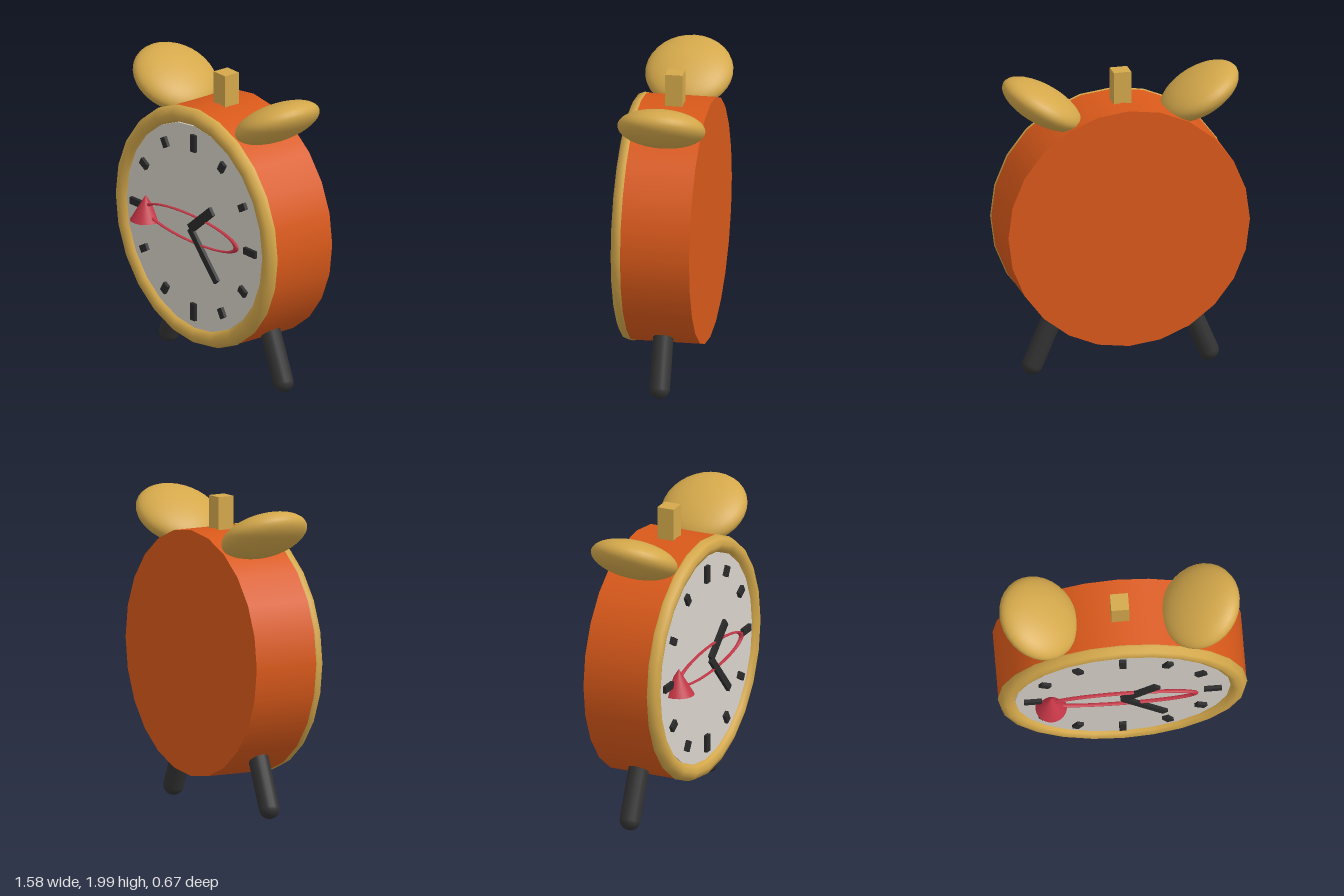
import * as THREE from 'three';

const mat = (color) => new THREE.MeshStandardMaterial({ color });
const CY = 1.01;   // height of the dial centre
const CZ = -0.055; // middle of the case depth

export function createModel() {
  const root = new THREE.Group();
  const orange = mat(0xd9591a), gold = mat(0xd4a84b), cream = mat(0xd8d3ca);
  const black = mat(0x2a2a2a), red = mat(0xc23545), dark = mat(0x333333);

  const add = (name, geometry, material, x, y, z) => {
    const mesh = new THREE.Mesh(geometry, material);
    mesh.name = name;
    mesh.position.set(x, y, z);
    root.add(mesh);
    return mesh;
  };

  // drum-shaped case, dial and rim
  const disc = (r, depth) => new THREE.CylinderGeometry(r, r, depth, 24).rotateX(Math.PI / 2);
  add('case', disc(0.787, 0.45), orange, 0, CY, CZ);
  add('dial', disc(0.682, 0.04), cream, 0, CY, 0.18);
  add('rim', new THREE.TorusGeometry(0.735, 0.057, 8, 24), gold, 0, CY, 0.175);

  // hour marks, longer at the quarters
  for (let i = 0; i < 12; i++) {
    const a = (i * Math.PI) / 6;
    const length = i % 3 === 0 ? 0.113 : 0.068;
    const mark = add('hourMark', new THREE.BoxGeometry(0.046, length, 0.025), black,
      0.57 * Math.sin(a), CY + 0.57 * Math.cos(a), 0.21);
    mark.rotation.z = -a;
  }

  // hands, each running from the dial centre to a tip
  const hand = (name, tipX, tipY, width, z) => {
    const length = Math.hypot(tipX, tipY);
    const geometry = new THREE.BoxGeometry(width, length, 0.022).translate(0, length / 2, 0);
    add(name, geometry, black, 0, CY, z).rotation.z = Math.atan2(-tipX, tipY);
  };
  hand('hourHand', 0.217, 0.18, 0.06, 0.236);
  hand('minuteHand', 0.267, -0.285, 0.046, 0.237);

  // flattened red ring with a cone at its end
  const ring = add('ring', new THREE.TorusGeometry(0.455, 0.023, 8, 48), red, 0, CY + 0.002, 0.233);
  ring.scale.set(1, 0.197, 0.55);
  add('cone', new THREE.ConeGeometry(0.1, 0.168, 24), red, -0.457, 1.016, 0.23);

  // bells and legs, mirrored left and right
  for (const s of [1, -1]) {
    const bell = add(s > 0 ? 'leftBell' : 'rightBell',
      new THREE.SphereGeometry(0.28, 32, 20), gold, s * 0.513, 1.812, CZ);
    bell.scale.y = 0.425;
    bell.rotation.z = s * Math.PI / 6;

    const leg = add(s > 0 ? 'leftLeg' : 'rightLeg',
      new THREE.CapsuleGeometry(0.066, 0.36, 6, 16), dark, s * 0.503, 0.238, CZ);
    leg.rotation.z = s * 0.405;
  }

  // square hammer post on top
  add('hammerPost', new THREE.BoxGeometry(0.114, 0.26, 0.112), gold, 0, 1.87, CZ);

  return root;
}
